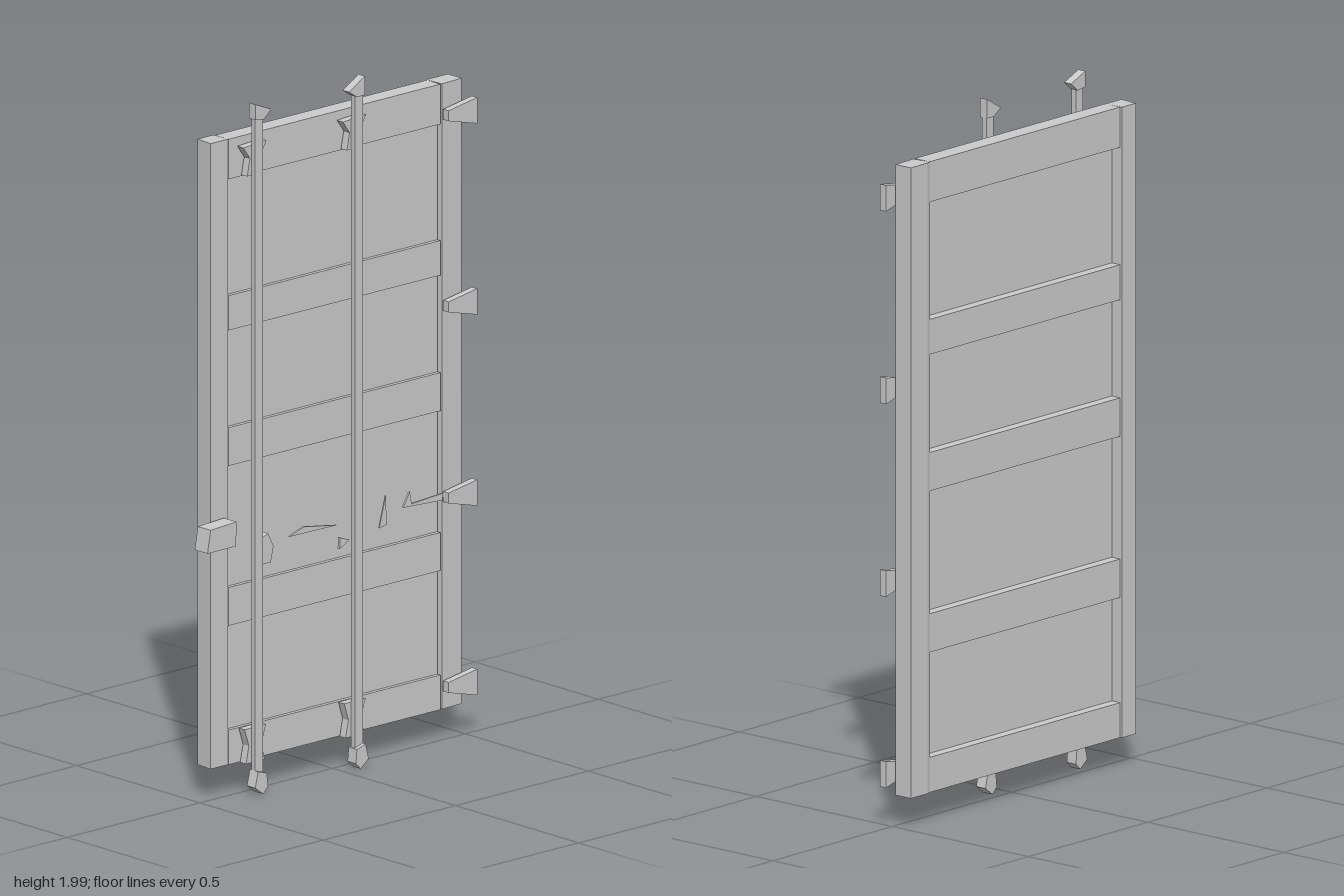
import * as THREE from 'three';

const material = new THREE.MeshStandardMaterial({ color: 0xcccccc, flatShading: true, side: THREE.DoubleSide });

function add(parent, name, geometry) {
  const mesh = new THREE.Mesh(geometry, material);
  mesh.name = name;
  parent.add(mesh);
  return mesh;
}

// Box given by its lower and upper limits on each axis
function block(parent, name, [x0, x1], [y0, y1], [z0, z1]) {
  const mesh = add(parent, name, new THREE.BoxGeometry(x1 - x0, y1 - y0, z1 - z0));
  mesh.position.set((x0 + x1) / 2, (y0 + y1) / 2, (z0 + z1) / 2);
  return mesh;
}

// Flat outline in x and y, given thickness from z0 to z1
function plate(parent, name, points, z0, z1) {
  const shape = new THREE.Shape(points.map(([x, y]) => new THREE.Vector2(x, y)));
  const geometry = new THREE.ExtrudeGeometry(shape, { depth: z1 - z0, bevelEnabled: false });
  geometry.translate(0, 0, z0);
  return add(parent, name, geometry);
}

export function createModel() {
  const model = new THREE.Group();
  model.name = 'door';

  // Upright stiles, slightly uneven in plan
  const stiles = {
    rightStile: [[-0.453, -0.06], [-0.394, -0.06], [-0.392, -0.002], [-0.458, -0.002]],
    leftStile: [[0.406, -0.056], [0.42, -0.06], [0.49, -0.06], [0.49, -0.004], [0.412, 0]],
  };
  for (const [name, outline] of Object.entries(stiles)) {
    const stile = plate(model, name, outline.map(([x, z]) => [x, -z]), 0, 1.8);
    stile.rotation.x = -Math.PI / 2;
    stile.position.y = 0.1;
  }

  // Cross rails
  const rails = [[0.1, 0.2], [0.5, 0.61], [0.96, 1.07], [1.35, 1.45], [1.785, 1.9]];
  rails.forEach((y, i) => block(model, 'rail' + (i + 1), [-0.392, 0.406], y, [-0.055, 0]));

  // Recessed panels between the rails
  for (let i = 0; i < rails.length - 1; i++) {
    block(model, 'panel' + (i + 1), [-0.392, 0.406], [rails[i][1], rails[i + 1][0]], [-0.025, -0.012]);
  }

  // Long vertical bolts with bent ends and holding brackets
  const bolts = [
    { x: -0.317, tip: [[-0.02, 1.955], [-0.02, 2], [0.04, 1.975], [0.012, 1.95]], foot: 1 },
    { x: 0.058, tip: [[-0.042, 1.965], [0.017, 2], [0.017, 1.945], [-0.012, 1.945]], foot: -1 },
  ];
  for (const { x, tip, foot } of bolts) {
    const bolt = new THREE.Group();
    bolt.name = 'bolt';
    bolt.position.x = x;
    model.add(bolt);
    block(bolt, 'boltRod', [-0.015, 0.015], [0.05, 1.96], [0.028, 0.044]);
    plate(bolt, 'boltTop', tip, 0.024, 0.05);
    const end = [[-0.015, 0.08], [-0.026, 0.035], [0.004, 0.012], [0.022, 0.03], [0.018, 0.07]];
    plate(bolt, 'boltFoot', end.map(([px, py]) => [px * foot, py]), 0.022, 0.056);
    plate(bolt, 'upperBracket', [[-0.045, 1.875], [-0.02, 1.84], [-0.03, 1.79], [0.03, 1.79],
      [0.02, 1.84], [0.042, 1.88]], 0.004, 0.028);
    plate(bolt, 'lowerBracket', [[-0.04, 0.2], [-0.024, 0.15], [-0.035, 0.1], [0.035, 0.1],
      [0.024, 0.15], [0.04, 0.2]], 0.004, 0.028);
  }

  // Wedge hinges along the left edge
  for (const y of [0.165, 0.71, 1.26, 1.81]) {
    plate(model, 'hinge', [[0.412, y + 0.018], [0.412, y - 0.012], [0.52, y - 0.04], [0.52, y + 0.035]], 0.005, 0.027);
  }

  // Latch block on the right edge
  plate(model, 'latch', [[-0.522, 0.745], [-0.415, 0.745], [-0.412, 0.815], [-0.51, 0.81]], 0.003, 0.055);

  // Small catch and thin splinter-like slats across the lower middle
  plate(model, 'catch', [[-0.3, 0.665], [-0.265, 0.665], [-0.255, 0.71], [-0.275, 0.75], [-0.305, 0.74]], 0.005, 0.035);
  plate(model, 'longSlat', [[-0.185, 0.72], [-0.13, 0.738], [-0.005, 0.718]], 0.018, 0.024);
  plate(model, 'uprightSlat', [[0.17, 0.67], [0.198, 0.675], [0.195, 0.76]], 0.002, 0.006);
  plate(model, 'sideSlat', [[0.24, 0.72], [0.265, 0.762], [0.272, 0.725], [0.39, 0.732], [0.388, 0.712]], 0.022, 0.028);
  plate(model, 'smallSlat', [[0.008, 0.645], [0.045, 0.665], [0.01, 0.678]], 0.012, 0.02);

  return model;
}
